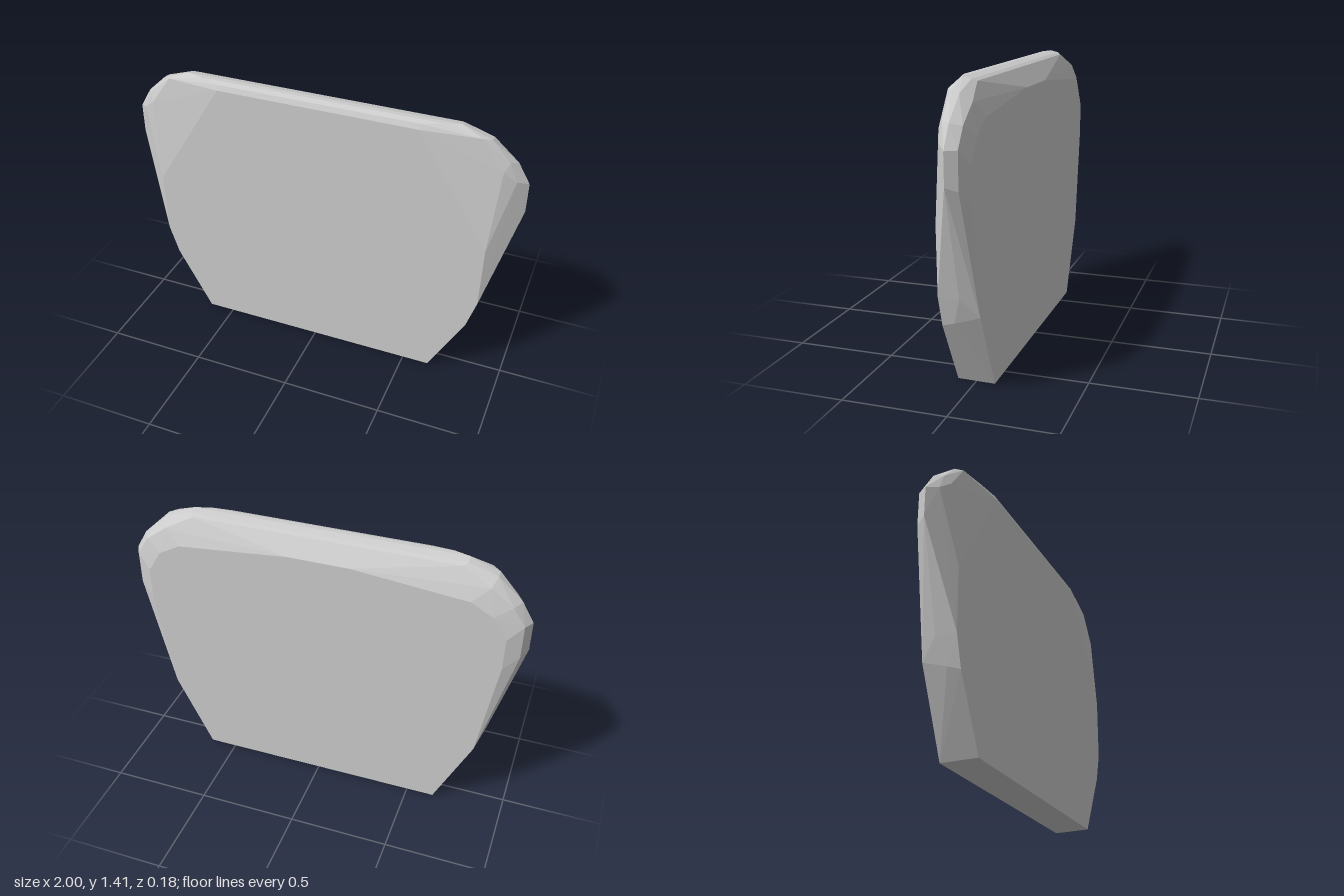
import * as THREE from 'three';
import { ConvexGeometry } from 'three/addons/geometries/ConvexGeometry.js';

// Half outlines [x, y] of the panel at successive depths, front to back.
const layers = [
  { z: 0.091, outline: [[0.635, 0], [0.81, 0.33], [0.855, 0.48], [0.86, 0.8], [0.5, 1.375]] },
  { z: 0.08, outline: [[0.5, 1.4]] },
  { z: 0.055, outline: [[0.6, 1.41], [0.78, 1.37], [0.89, 1.22]] },
  { z: 0.03, outline: [[0.82, 0.35], [0.68, 1.41], [0.82, 1.36], [0.91, 1.26], [0.95, 1.17]] },
  { z: -0.01, outline: [[0.86, 0.48], [1, 1], [1, 1.15], [0.94, 1.25], [0.82, 1.355], [0.68, 1.4]] },
  { z: -0.03, outline: [[0.66, 1.39]] },
  { z: -0.06, outline: [[0.97, 0.98], [0.97, 1.15], [0.91, 1.24], [0.8, 1.32]] },
  { z: -0.091, outline: [[0.64, 0], [0.82, 0.39], [0.9, 0.92], [0.9, 1.08], [0.83, 1.19], [0.72, 1.25], [0.15, 1.305]] },
];

export function createModel() {
  const group = new THREE.Group();
  group.name = 'panel';

  // Mirror every outline and wrap the whole in a faceted skin.
  const points = [];
  for (const { z, outline } of layers)
    for (const [x, y] of outline)
      for (const side of [-1, 1]) points.push(new THREE.Vector3(side * x, y, z));

  const material = new THREE.MeshStandardMaterial({ color: 0xcccccc, flatShading: true });
  const backrest = new THREE.Mesh(new ConvexGeometry(points), material);
  backrest.name = 'backrestPanel';
  group.add(backrest);
  return group;
}
